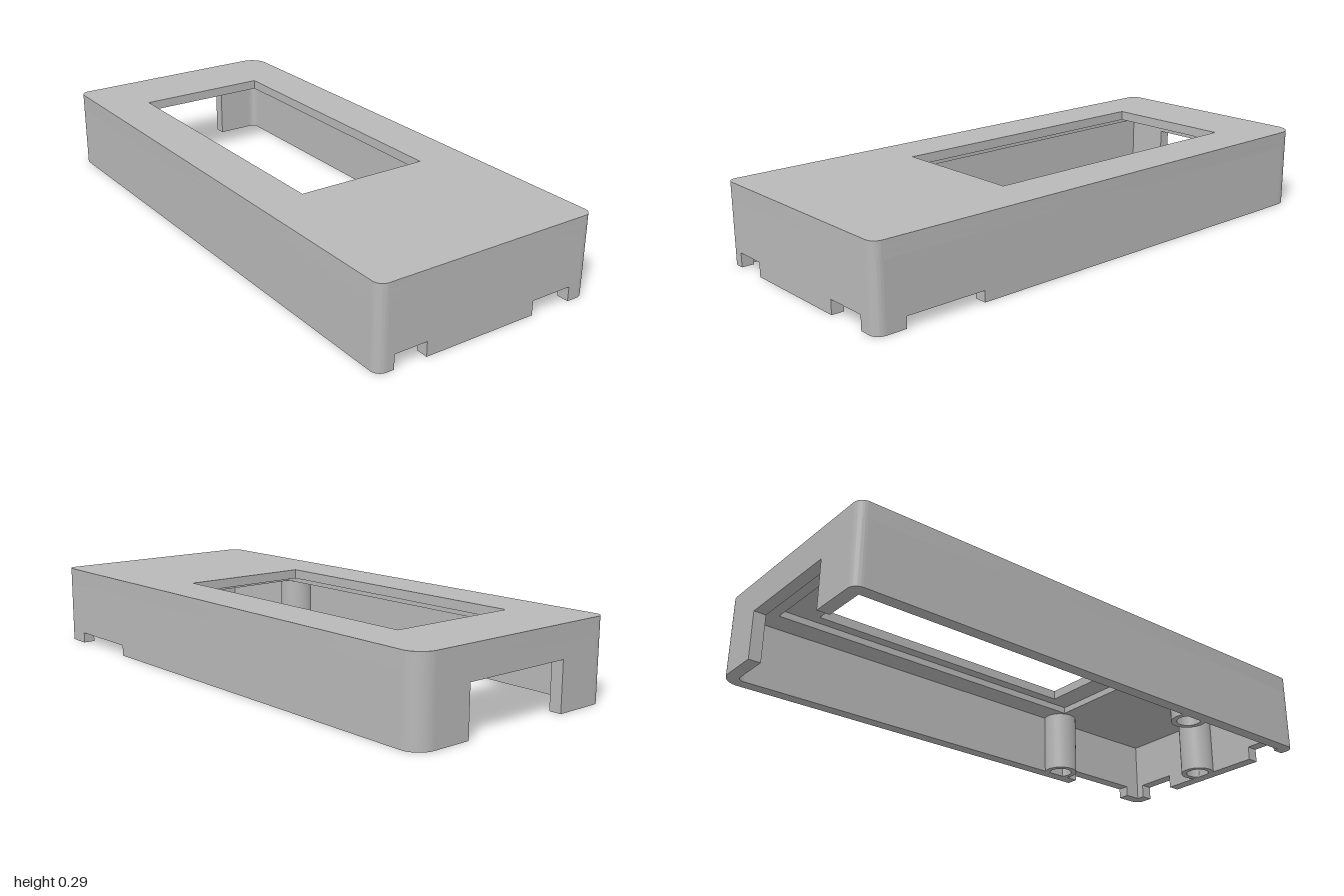
import * as THREE from 'three';
import { toCreasedNormals } from 'three/addons/utils/BufferGeometryUtils.js';

const W = 0.427, L = 1, T = 0.045;          // half width, half length, wall thickness
const TOP = 0.295, LEDGE = 0.26, CEIL = 0.235;
const R = 0.035, BIG = 0.07;                // corner radii

const grey = new THREE.MeshStandardMaterial({ color: 0xb8b8b8 });
grey.name = 'grey plastic';

export function createModel() {
  const model = new THREE.Group();
  model.name = 'enclosure';

  const add = (name, geometry, x = 0, y = 0, z = 0) => {
    const mesh = new THREE.Mesh(toCreasedNormals(geometry, 0.5), grey);
    mesh.name = name;
    mesh.position.set(x, y, z);
    model.add(mesh);
    return mesh;
  };
  const extrude = (shape, depth) =>
    new THREE.ExtrudeGeometry(shape, { depth, bevelEnabled: false, curveSegments: 12 });
  // Plan shapes use (x, -z) and are extruded upwards
  const extrudeUp = (shape, depth) => extrude(shape, depth).rotateX(-Math.PI / 2);

  // Case outline with one larger corner at the back left
  const outline = () => {
    const s = new THREE.Shape(), q = Math.PI / 2;
    s.absarc(W - BIG, L - BIG, BIG, 0, q);
    s.absarc(-W + R, L - R, R, q, 2 * q);
    s.absarc(-W + R, -L + R, R, 2 * q, 3 * q);
    s.absarc(W - R, -L + R, R, 3 * q, 4 * q);
    s.closePath();
    return s;
  };
  const rectHole = (x, zBack, zFront) => new THREE.Path([
    [-x, -zBack], [x, -zBack], [x, -zFront], [-x, -zFront],
  ].map(p => new THREE.Vector2(...p)));

  // Top plate with window, and the stepped recess beneath it
  const plate = outline();
  plate.holes.push(rectHole(0.25, -0.735, 0.36));
  add('topPlate', extrudeUp(plate, TOP - LEDGE), 0, LEDGE, 0);
  const recess = outline();
  recess.holes.push(rectHole(0.29, -0.87, 0.45));
  add('recessFrame', extrudeUp(recess, LEDGE - CEIL), 0, CEIL, 0);

  // Wall panel from u0 to u1, with notches [from, to, height] in its lower edge
  const panel = (u0, u1, notches = []) => {
    const s = new THREE.Shape();
    s.moveTo(u0, 0);
    for (const [a, b, h] of notches) {
      s.lineTo(a, 0);
      s.lineTo(a, h);
      s.lineTo(b, h);
      s.lineTo(b, 0);
    }
    s.lineTo(u1, 0);
    s.lineTo(u1, CEIL);
    s.lineTo(u0, CEIL);
    s.closePath();
    return extrude(s, T);
  };
  add('frontWall', panel(-W + T, W - T, [[-0.365, -0.242, 0.052], [0.19, 0.35, 0.052]]), 0, 0, L - T);
  add('backWall', panel(-W + T, W - BIG, [[-0.22, 0.213, 0.178]]), 0, 0, -L);
  add('leftWall', panel(-L + T, L - BIG, [[-0.89, -0.59, 0.04]]).rotateY(Math.PI / 2), W - T, 0, 0);
  add('rightWall', panel(-L + T, L - T).rotateY(Math.PI / 2), -W, 0, 0);

  // Rounded corner posts, turned by quarter turns
  const corner = (r) => {
    const c = Math.max(r, T), inner = c - T, s = new THREE.Shape();
    s.moveTo(inner, 0);
    s.lineTo(c, 0);
    s.absarc(c - r, c - r, r, 0, Math.PI / 2);
    s.lineTo(0, c);
    s.lineTo(0, inner);
    if (inner > 0) s.absarc(0, 0, inner, Math.PI / 2, 0, true);
    return extrudeUp(s, CEIL);
  };
  [[1, -1, BIG], [-1, -1, R], [-1, 1, R], [1, 1, R]].forEach(([sx, sz, r], i) => {
    const c = Math.max(r, T);
    add('cornerPost', corner(r).rotateY(i * Math.PI / 2), sx * (W - c), 0, sz * (L - c));
  });

  // Hollow screw bosses
  const profile = [[0, 0.17], [0.044, 0.17], [0.044, 0], [0.065, 0], [0.065, CEIL]]
    .map(p => new THREE.Vector2(...p));
  for (const [x, z] of [[-0.355, 0.48], [0.355, 0.48], [0, 0.918]]) {
    add('screwBoss', new THREE.LatheGeometry(profile, 32), x, 0, z);
  }
  return model;
}
